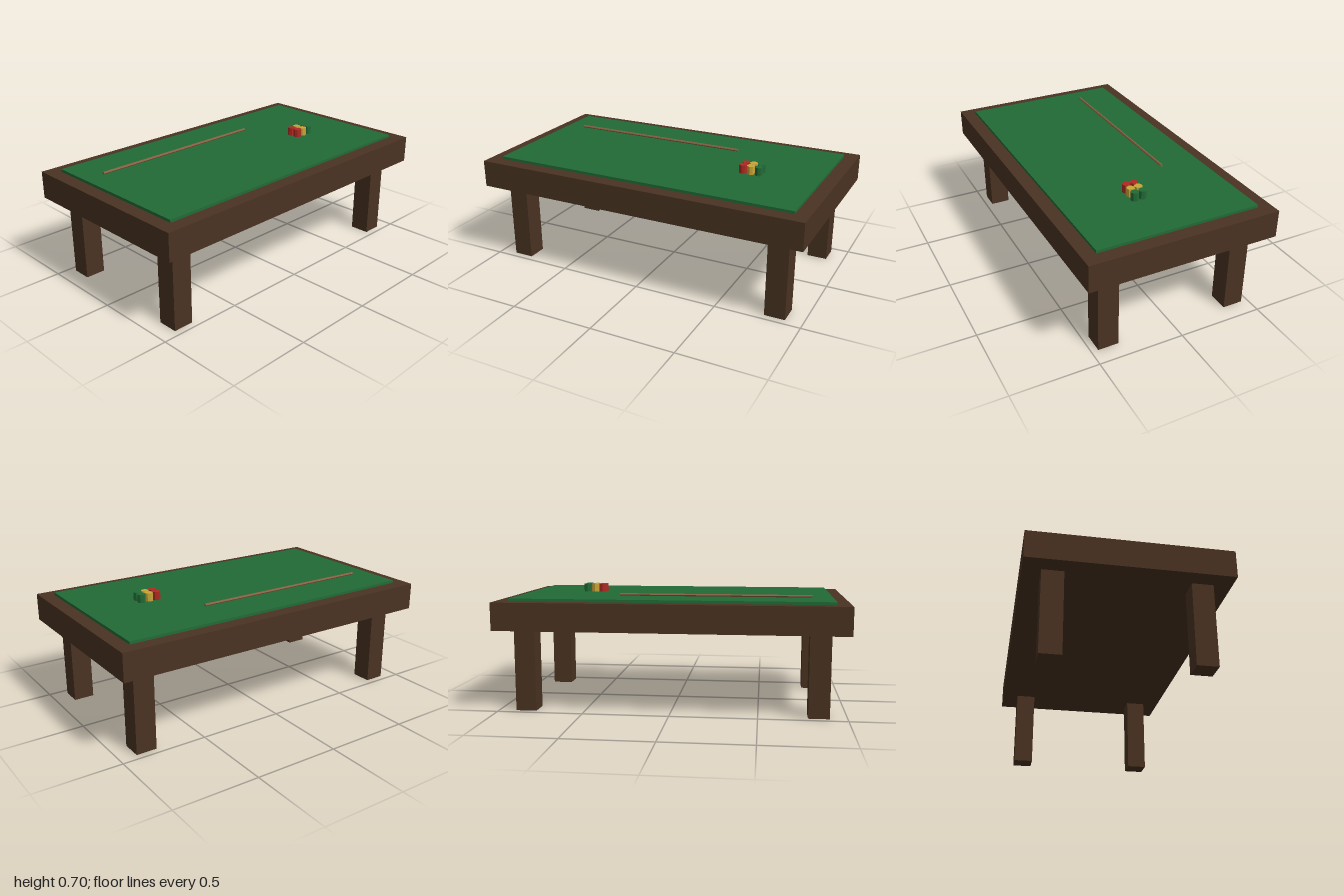
import * as THREE from 'three';

const paint = (name, color) => {
  const m = new THREE.MeshStandardMaterial({ color });
  m.name = name;
  return m;
};

export function createModel() {
  const model = new THREE.Group();
  model.name = 'billiardTable';
  const wood = paint('darkWood', 0x4a3322);
  const felt = paint('greenFelt', 0x226b36);
  const cueWood = paint('cueWood', 0x8a6244);
  const red = paint('red', 0xb02a22);
  const yellow = paint('yellow', 0xc9a636);

  const add = (name, geometry, material, x, y, z) => {
    const mesh = new THREE.Mesh(geometry, material);
    mesh.name = name;
    mesh.position.set(x, y, z);
    model.add(mesh);
    return mesh;
  };

  // Table body and raised playing surface
  add('tableBody', new THREE.BoxGeometry(2, 0.16, 1.12), wood, 0, 0.56, 0);
  add('playingSurface', new THREE.BoxGeometry(1.84, 0.016, 0.96), felt, 0, 0.648, 0);

  // Four square legs
  const legGeometry = new THREE.BoxGeometry(0.12, 0.48, 0.12);
  for (const x of [-0.84, 0.84]) {
    for (const z of [-0.4, 0.4]) add('leg', legGeometry, wood, x, 0.24, z);
  }

  // Cue lying along the table
  const cueGeometry = new THREE.CylinderGeometry(0.008, 0.008, 1.12, 6).toNonIndexed();
  cueGeometry.computeVertexNormals();
  cueGeometry.rotateZ(Math.PI / 2);
  add('cue', cueGeometry, cueWood, -0.24, 0.664, -0.24);

  // Three coloured pairs of low-poly drums
  const ballGeometry = new THREE.CylinderGeometry(0.024, 0.024, 0.048, 8).toNonIndexed();
  ballGeometry.computeVertexNormals();
  [red, yellow, felt].forEach((material, i) => {
    for (const z of [0.032, 0.08]) add('ball', ballGeometry, material, 0.48 + i * 0.048, 0.68, z);
  });

  return model;
}
